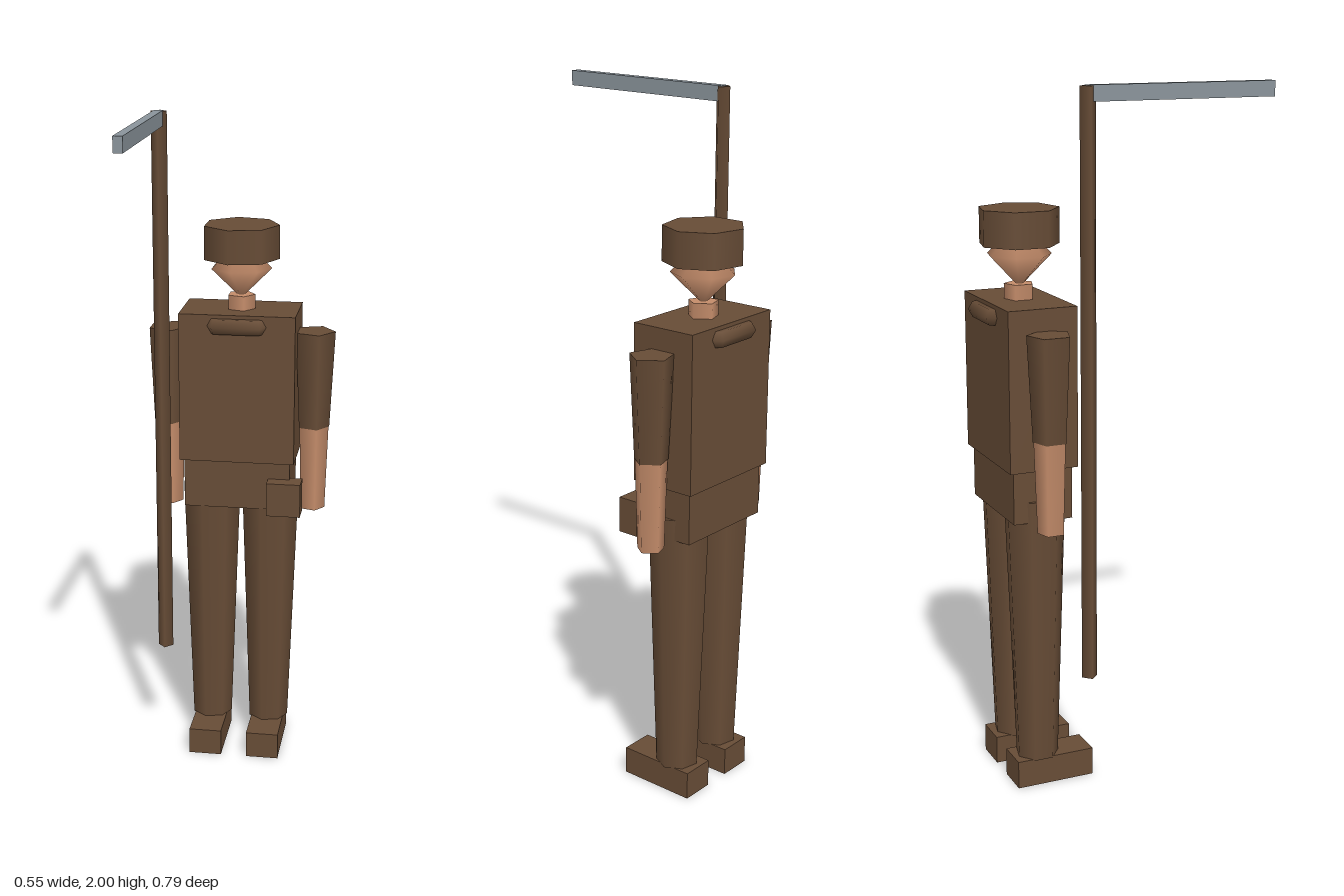
import * as THREE from 'three';

export function createModel() {
  const cloth = new THREE.MeshStandardMaterial({ name: 'brown', color: 0x674c36 });
  const skin = new THREE.MeshStandardMaterial({ name: 'skin', color: 0xc48c6a });
  const metal = new THREE.MeshStandardMaterial({ name: 'steel grey', color: 0x8a949b });

  const model = new THREE.Group();
  model.name = 'figureWithScythe';
  const figure = new THREE.Group();
  figure.name = 'figure';
  figure.position.set(-0.007, 0, -0.268);
  model.add(figure);

  const add = (parent, name, geometry, material, x, y, z) => {
    const mesh = new THREE.Mesh(geometry, material);
    mesh.name = name;
    mesh.position.set(x, y, z);
    parent.add(mesh);
    return mesh;
  };
  // Upright prism from y0 to y1 with one corner pointing to +x
  const column = (parent, name, material, sides, rBottom, rTop, y0, y1, x = 0, z = 0) =>
    add(parent, name, new THREE.CylinderGeometry(rTop, rBottom, y1 - y0, sides).rotateY(Math.PI / 2),
      material, x, (y0 + y1) / 2, z);
  // Box given by its lower and upper corners
  const box = (parent, name, material, a, b) =>
    add(parent, name, new THREE.BoxGeometry(b[0] - a[0], b[1] - a[1], b[2] - a[2]), material,
      (a[0] + b[0]) / 2, (a[1] + b[1]) / 2, (a[2] + b[2]) / 2);

  // Body
  box(figure, 'torso', cloth, [-0.173, 0.96, -0.1], [0.173, 1.412, 0.1]);
  box(figure, 'hips', cloth, [-0.16, 0.81, -0.087], [0.16, 0.96, 0.087]);
  add(figure, 'collar', new THREE.TorusGeometry(0.12, 0.0255, 6, 6).rotateX(Math.PI / 2), cloth, 0, 1.379, 0);

  // Neck, head and cap
  column(figure, 'neck', skin, 5, 0.043, 0.043, 1.41, 1.455);
  add(figure, 'head', new THREE.SphereGeometry(0.092, 7, 2).rotateY(Math.PI), skin, 0, 1.535, 0);
  column(figure, 'cap', cloth, 7, 0.114, 0.114, 1.563, 1.663);

  // Limbs, left then right
  for (const [side, s] of [['left', 1], ['right', -1]]) {
    column(figure, side + 'Leg', cloth, 7, 0.062, 0.089, 0.08, 0.87, s * 0.09);
    box(figure, side + 'Boot', cloth, [s * 0.09 - 0.05, 0, -0.077], [s * 0.09 + 0.05, 0.082, 0.156]);
    column(figure, side + 'Sleeve', cloth, 5, 0.049, 0.063, 1.055, 1.35, s * 0.22);
    column(figure, side + 'Forearm', skin, 5, 0.039, 0.047, 0.795, 1.057, s * 0.22);
  }

  // Pouch on the left hip
  box(model, 'pouch', cloth, [0.088, 0.805, -0.199], [0.19, 0.908, -0.136]);

  // Scythe
  column(model, 'pole', cloth, 4, 0.023, 0.023, 0.35, 1.998, -0.227, -0.156);
  box(model, 'blade', metal, [-0.24, 1.957, -0.159], [-0.214, 2, 0.393]);

  return model;
}
